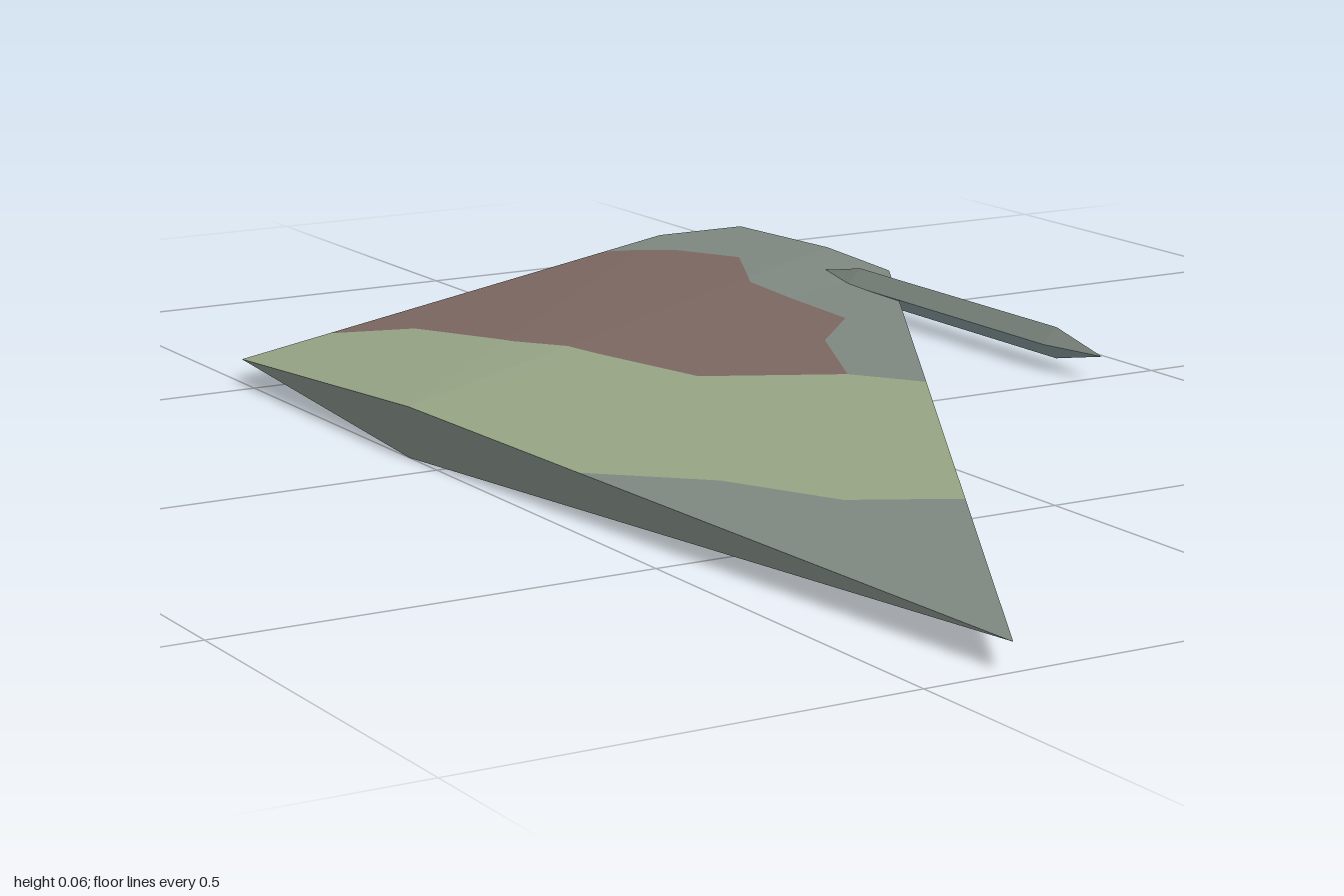
import * as THREE from 'three';

const MID = 0.03;
const GREY = 0x7d867f, GREEN = 0x95a283, BROWN = 0x7a6660, UNDER = 0x64777c;

// Wing corners as [x, z, half thickness]
const ridgeRoot = [-0.5, -0.07, 0.03], ridgeEnd = [0.495, -0.76, 0.007];
const nose = [-0.4, 1, 0], leadEnd = [0.495, -0.6, 0];
const rearRoot = [-0.5, -0.535, 0], rearBend = [0.36, -1, 0], rearEnd = [0.495, -1, 0];

const panels = [
  [ridgeRoot, nose, leadEnd],
  [ridgeRoot, leadEnd, ridgeEnd],
  [ridgeRoot, rearBend, rearRoot],
  [ridgeRoot, ridgeEnd, rearBend],
  [ridgeEnd, rearEnd, rearBend],
];

// Shared paint borders, running past the wing edge where they meet it
const noseBorder = [[-0.6, 0.2], [-0.46, 0.28], [-0.34, 0.36], [-0.26, 0.48], [-0.14, 0.52], [0, 0.58]];
const midBorder = [[-0.42, -0.8], [-0.34, -0.62], [-0.25, -0.56], [-0.21, -0.37], [-0.17, -0.3], [-0.1, -0.1], [0.08, -0.05]];
const outerBorder = [[0.08, -0.05], [0.16, -0.23], [0.26, -0.34], [0.26, -0.58], [0.35, -0.76], [0.31, -0.87], [0.23, -0.93], [0.2, -1.05]];
const paint = [
  ['noseCamouflage', GREY, [...noseBorder, [0, 1.1], [-0.6, 1.1]]],
  ['innerCamouflage', GREEN, [...noseBorder, [0.2, 0.07], ...[...midBorder].reverse(), [-0.6, -0.8]]],
  ['middleCamouflage', BROWN, [...midBorder, ...outerBorder]],
  ['outerCamouflage', GREY, [...outerBorder, [0.6, -1.05], [0.6, -0.5], [0.2, 0.07]]],
];

function mesh(name, color, geometry) {
  const m = new THREE.Mesh(geometry, new THREE.MeshStandardMaterial({ color, flatShading: true }));
  m.name = name;
  return m;
}

// Triangles given as lists of [x, y, z] corners
function facets(points) {
  const g = new THREE.BufferGeometry();
  g.setAttribute('position', new THREE.Float32BufferAttribute(points.flat(), 3));
  g.computeVertexNormals();
  return g;
}

const cross = (a, b, p) => (b[0] - a[0]) * (p[1] - a[1]) - (b[1] - a[1]) * (p[0] - a[0]);

// Cut a flat outline down to the part inside a triangle
function clip(outline, tri) {
  const turn = Math.sign(cross(...tri));
  let out = outline;
  for (let i = 0; i < 3; i++) {
    const a = tri[i], b = tri[(i + 1) % 3], next = [];
    out.forEach((p, k) => {
      const q = out[(k + 1) % out.length];
      const dp = turn * cross(a, b, p), dq = turn * cross(a, b, q);
      if (dp >= 0) next.push(p);
      if ((dp >= 0) !== (dq >= 0)) {
        const t = dp / (dp - dq);
        next.push([p[0] + (q[0] - p[0]) * t, p[1] + (q[1] - p[1]) * t]);
      }
    });
    out = next;
  }
  return out;
}

// Lift a plan point onto a panel; side is 1 for the top, -1 for the underside
function lift(p, [a, b, c], side) {
  const area = cross(a, b, c);
  const h = (cross(b, c, p) * a[2] + cross(c, a, p) * b[2] + cross(a, b, p) * c[2]) / area;
  return [p[0], MID + side * h, p[1]];
}

// Fill an outline over all the panels it covers
function skin(outline, side) {
  const points = [];
  for (const tri of panels) {
    const piece = clip(outline, tri);
    if (piece.length < 3) continue;
    const faces = THREE.ShapeUtils.triangulateShape(piece.map(([x, z]) => new THREE.Vector2(x, z)), []);
    for (const f of faces) {
      const corners = f.map((i) => piece[i]);
      const area = cross(...corners);
      if (Math.abs(area) < 1e-7) continue;
      if (area * side > 0) corners.reverse();
      points.push(...corners.map((p) => lift(p, tri, side)));
    }
  }
  return facets(points);
}

export function createModel() {
  const model = new THREE.Group();
  model.name = 'wingAssembly';

  // Wing skins
  const wing = new THREE.Group();
  wing.name = 'wing';
  for (const [name, color, outline] of paint) wing.add(mesh(name, color, skin(outline, 1)));
  wing.add(mesh('wingUnderside', UNDER, skin([[-1, -2], [1, -2], [1, 2], [-1, 2]], -1)));

  // Flat closing faces at the root and at the outer end
  const up = ([x, z, h]) => [x, MID + h, z], down = ([x, z, h]) => [x, MID - h, z];
  wing.add(mesh('wingRoot', GREY, facets([
    up(rearRoot), down(ridgeRoot), up(ridgeRoot),
    up(nose), up(ridgeRoot), down(ridgeRoot),
  ])));
  wing.add(mesh('wingEnd', GREY, facets([
    up(rearEnd), up(ridgeEnd), down(ridgeEnd),
    up(leadEnd), down(ridgeEnd), up(ridgeEnd),
  ])));
  model.add(wing);

  // Slim four-sided pod through the leading edge
  const pod = new THREE.Group();
  pod.name = 'pod';
  const profile = [[0, -0.333], [0.02, -0.225], [0.02, 0.235], [0, 0.333]].map(([r, z]) => new THREE.Vector2(r, z));
  [['podTop', GREY, Math.PI / 2], ['podUnderside', 0x82969a, -Math.PI / 2]].forEach(([name, color, start]) => {
    pod.add(mesh(name, color, new THREE.LatheGeometry(profile, 2, start, Math.PI).rotateX(Math.PI / 2)));
  });
  pod.position.set(0.408, 0.032, -0.312);
  model.add(pod);

  return model;
}
